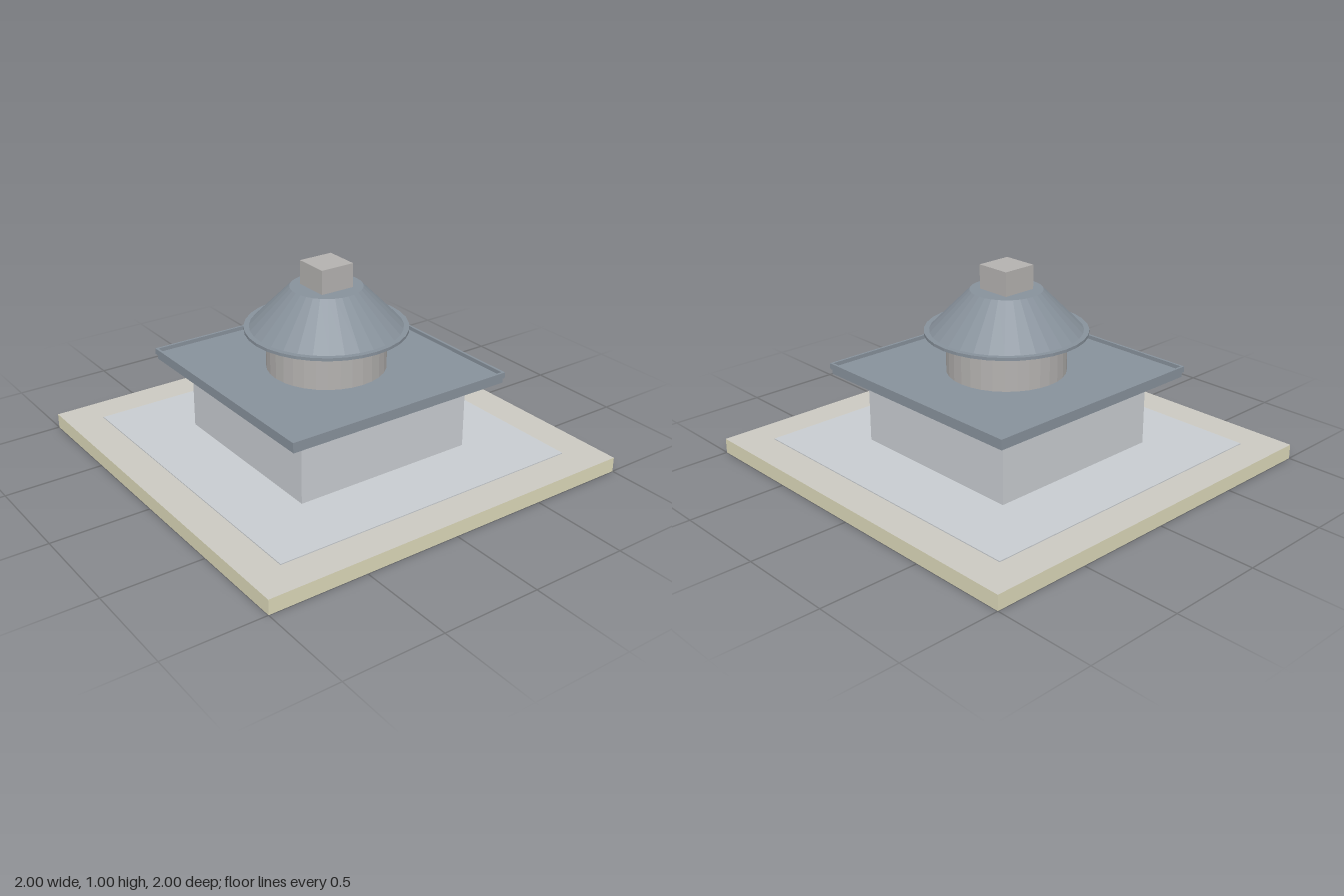
import * as THREE from 'three';

const material = (color) => new THREE.MeshStandardMaterial({ color, flatShading: true });

export function createModel() {
  const model = new THREE.Group();
  const cream = material(0xdbd7b8);
  const stone = material(0xcbc9c1);
  const pale = material(0xc8ccd0);
  const slate = material(0x87919b);
  const concrete = material(0xb3b1af);

  function add(name, geometry, mat, y = 0) {
    const mesh = new THREE.Mesh(geometry, mat);
    mesh.name = name;
    mesh.position.y = y;
    model.add(mesh);
    return mesh;
  }

  // Square block standing between two heights
  const block = (name, width, y0, y1, mat) =>
    add(name, new THREE.BoxGeometry(width, y1 - y0, width), mat, (y0 + y1) / 2);

  // Solid turned around the vertical axis
  const turned = (name, profile, mat) =>
    add(name, new THREE.LatheGeometry(profile.map(([r, y]) => new THREE.Vector2(r, y)), 32), mat);

  // Square frame with an open middle
  function frame(name, outer, inner, y0, y1, mat) {
    const square = (Type, h) => new Type([[-h, -h], [h, -h], [h, h], [-h, h]]
      .map(([x, y]) => new THREE.Vector2(x, y)));
    const shape = square(THREE.Shape, outer / 2);
    shape.holes.push(square(THREE.Path, inner / 2));
    const geometry = new THREE.ExtrudeGeometry(shape, { depth: y1 - y0, bevelEnabled: false });
    geometry.rotateX(-Math.PI / 2);
    return add(name, geometry, mat, y0);
  }

  // Ground slab with cream sides, and the paved area on it
  block('groundSlab', 2, 0, 0.075, [cream, cream, stone, stone, cream, cream]);
  block('paving', 1.65, 0.07, 0.08, pale);

  // Square hall under a flat roof with a thin raised rim
  block('hall', 0.96, 0.08, 0.44, pale);
  block('flatRoof', 1.21, 0.435, 0.47, slate);
  frame('roofRim', 1.224, 1.2, 0.46, 0.49, slate);

  // Round drum
  turned('drum', [[0, 0.465], [0.295, 0.465], [0.295, 0.67], [0, 0.67]], concrete);

  // Conical roof with a narrow flange and a flat top
  turned('conicalRoof',
    [[0, 0.665], [0.4, 0.665], [0.4, 0.68], [0.374, 0.68], [0.177, 0.88], [0, 0.88]], slate);

  // Square cap on the summit
  block('cap', 0.18, 0.87, 1, concrete);

  return model;
}
